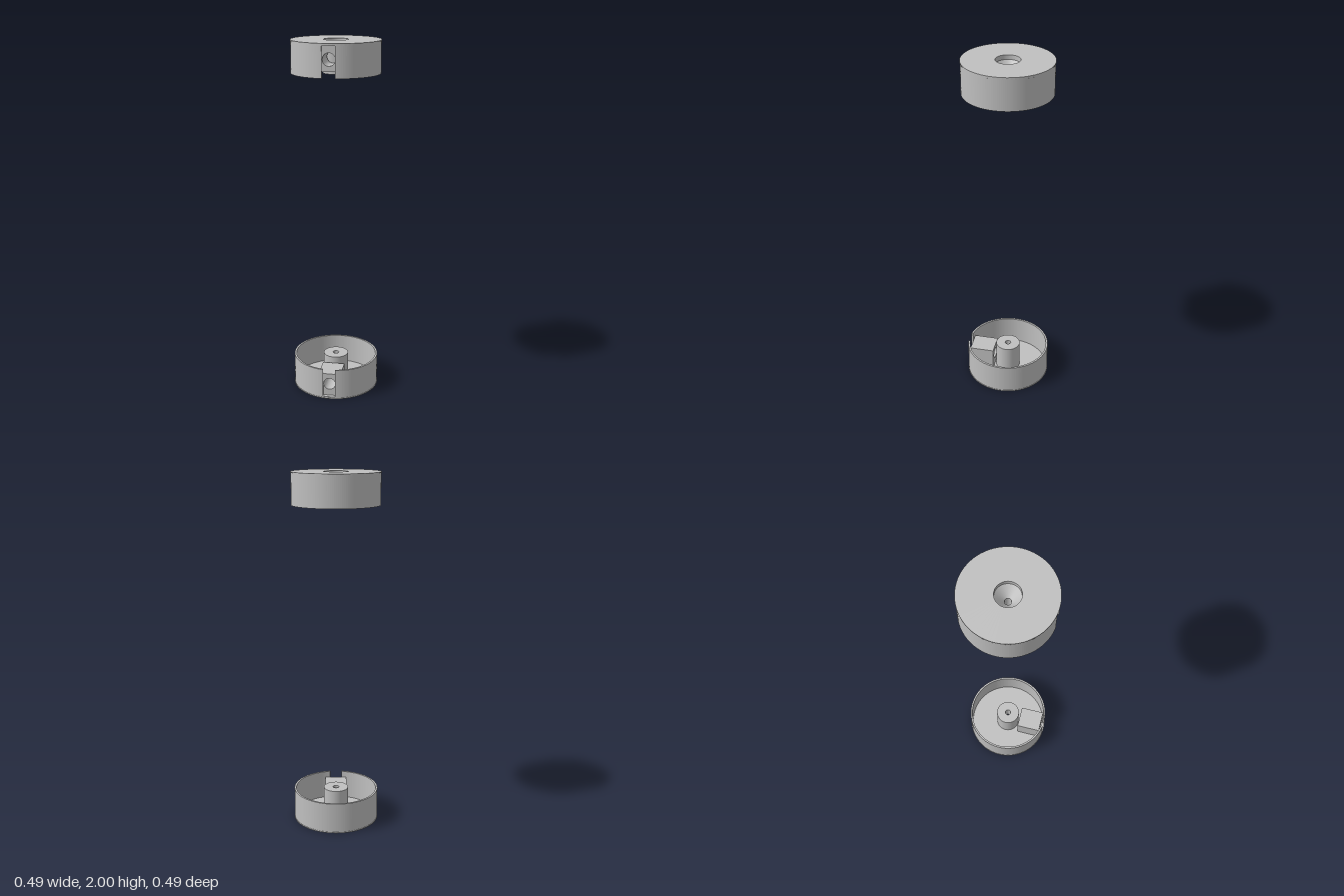
import * as THREE from 'three';

const HEIGHT = 0.178, FLOOR = 0.012, SLOT = 0.035, OUTER = 0.243, INNER = 0.232;

// Floor disc with edge lip, central boss and countersunk bore
function baseGeometry() {
  const profile = [
    [0.066, 0], [0.245, 0], [0.245, 0.006], [OUTER, 0.006], [OUTER, FLOOR],
    [0.071, FLOOR], [0.071, HEIGHT], [0.017, HEIGHT], [0.017, 0.08], [0.066, 0.025], [0.066, 0],
  ].map(([r, y]) => new THREE.Vector2(r, y));
  return new THREE.LatheGeometry(profile, 72);
}

// Ring wall, open at the front slot
function wallGeometry() {
  const a = Math.asin(SLOT / OUTER), b = Math.asin(SLOT / INNER);
  const shape = new THREE.Shape();
  shape.absarc(0, 0, OUTER, -Math.PI / 2 + a, Math.PI * 1.5 - a, false);
  shape.absarc(0, 0, INNER, Math.PI * 1.5 - b, -Math.PI / 2 + b, true);
  shape.closePath();
  const geo = new THREE.ExtrudeGeometry(shape, { depth: HEIGHT - FLOOR, bevelEnabled: false, curveSegments: 72 });
  return geo.rotateX(-Math.PI / 2).translate(0, FLOOR, 0);
}

// Block behind the slot, bored from front to back
function blockGeometry() {
  const w = 0.063, top = 0.145, z0 = 0.08, z1 = 0.222;
  const shape = new THREE.Shape([[-w, FLOOR], [w, FLOOR], [w, top], [-w, top]].map(([x, y]) => new THREE.Vector2(x, y)));
  shape.holes.push(new THREE.Path().absarc(0, 0.083, 0.034, 0, Math.PI * 2, true));
  return new THREE.ExtrudeGeometry(shape, { depth: z1 - z0, bevelEnabled: false, curveSegments: 32 }).translate(0, 0, z0);
}

export function createModel() {
  const grey = new THREE.MeshStandardMaterial({ color: 0xc0c0c0, flatShading: true });
  grey.name = 'grey';
  const parts = { base: baseGeometry(), slottedWall: wallGeometry(), boredBlock: blockGeometry() };

  const cup = (name) => {
    const group = new THREE.Group();
    group.name = name;
    for (const [part, geo] of Object.entries(parts)) {
      const mesh = new THREE.Mesh(geo, grey);
      mesh.name = part;
      group.add(mesh);
    }
    return group;
  };

  const model = new THREE.Group();
  model.name = 'endCaps';
  const lower = cup('lowerCap');
  // Upper cap is the same part turned over, slot still to the front
  const upper = cup('upperCap');
  upper.rotation.z = Math.PI;
  upper.position.y = 2;
  model.add(lower, upper);
  return model;
}
